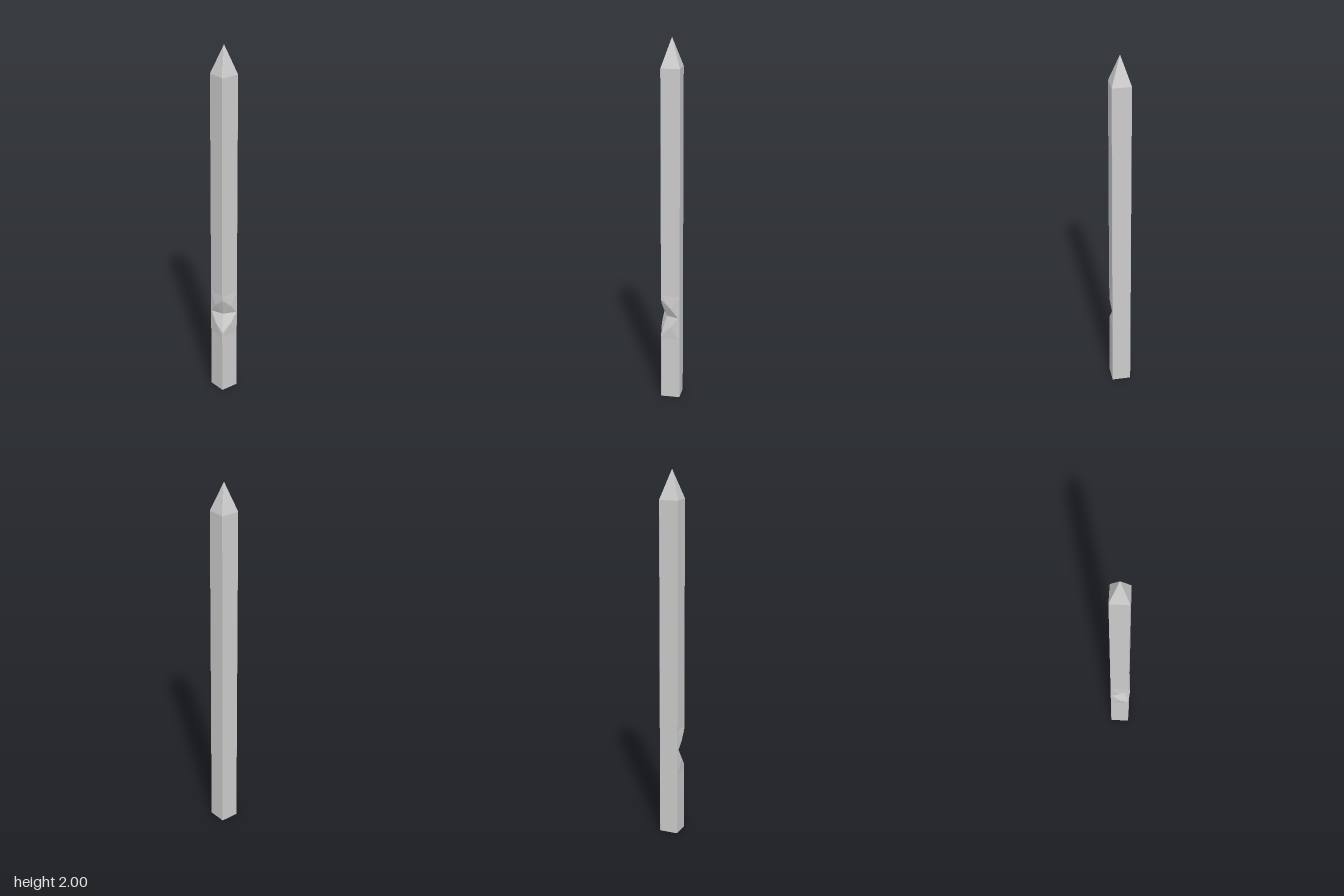
import * as THREE from 'three';

const H = 0.0515; // half width of the post
const B = 0.002; // edge chamfer
const MID = 0.475, TOP = 0.6, BOTTOM = 2 * MID - TOP; // notch heights

function makeMesh(name, tris) {
  const geo = new THREE.BufferGeometry();
  geo.setAttribute('position', new THREE.Float32BufferAttribute(tris.flat(2), 3));
  geo.computeVertexNormals();
  const mesh = new THREE.Mesh(geo, new THREE.MeshStandardMaterial({ color: 0xcccccc, flatShading: true }));
  mesh.name = name;
  return mesh;
}

// Chamfered square cross-section at height y
function ring(y, h, b = B) {
  const k = h - b;
  return [[-k, h], [k, h], [h, k], [h, -k], [k, -h], [-k, -h], [-h, -k], [-h, k]].map(([x, z]) => [x, y, z]);
}

// Walls between two rings; some sides can be left open
function band(low, high, skip = []) {
  const tris = [];
  for (let i = 0; i < 8; i++) {
    if (skip.includes(i)) continue;
    const j = (i + 1) % 8;
    tris.push([low[i], low[j], high[j]], [low[i], high[j], high[i]]);
  }
  return tris;
}

// Closes a ring to a point
function cap(loop, point, down = false) {
  return loop.map((p, i) => {
    const q = loop[(i + 1) % 8];
    return down ? [q, p, point] : [p, q, point];
  });
}

export function createModel() {
  const group = new THREE.Group();
  group.name = 'woodenStake';

  const foot = ring(0, H - B), footEdge = ring(B, H);
  const notchLow = ring(BOTTOM, H), notchHigh = ring(TOP, H);
  const shoulder = ring(1.845, H), tipEdge = ring(1.996, 0.0018, 0.0009);

  // Post below and above the notch; the notched corner stays open between
  group.add(makeMesh('post', [
    ...cap(foot, [0, 0, 0], true),
    ...band(foot, footEdge),
    ...band(footEdge, notchLow),
    ...band(notchLow, notchHigh, [0, 6, 7]),
    ...band(notchHigh, shoulder),
  ]));

  // Sharpened point
  group.add(makeMesh('point', [...band(shoulder, tipEdge), ...cap(tipEdge, [0, 2, 0])]));

  // One quarter of the notch: upper half on the front face
  const TL = [-H + B, TOP, H], TR = [H - B, TOP, H];
  const M = [-H + B / 2, TOP, H - B / 2]; // middle of the corner chamfer
  const C = [-H + B / 2, 0.575, H - B / 2]; // notch start on the corner
  const F = [0.0015, 0.53, H + 0.006]; // raised lip
  const V = [0.0435, MID, H], R = [H - B, MID, H]; // valley end, far edge
  const I = [-0.0235, MID, 0.0235]; // valley centre
  const faceTris = [[F, TR, TL], [F, TL, C], [F, V, TR], [V, R, TR], [C, TL, M]];
  const cutTris = [[F, C, I], [V, F, I]];

  // Mirror it across the corner diagonal and across the valley height
  const mirrored = (tris) => {
    const out = [];
    for (const diagonal of [false, true]) for (const lower of [false, true]) {
      for (const tri of tris) {
        const t = tri.map(([x, y, z]) => {
          const h = lower ? 2 * MID - y : y;
          return diagonal ? [-z, h, -x] : [x, h, z];
        });
        out.push(diagonal !== lower ? t.reverse() : t);
      }
    }
    return out;
  };
  group.add(makeMesh('notchSurround', mirrored(faceTris)));
  group.add(makeMesh('notchCut', mirrored(cutTris)));

  // Centre the whole stake, lips included
  for (const mesh of group.children) mesh.geometry.translate(0.003, 0, -0.003);
  return group;
}
